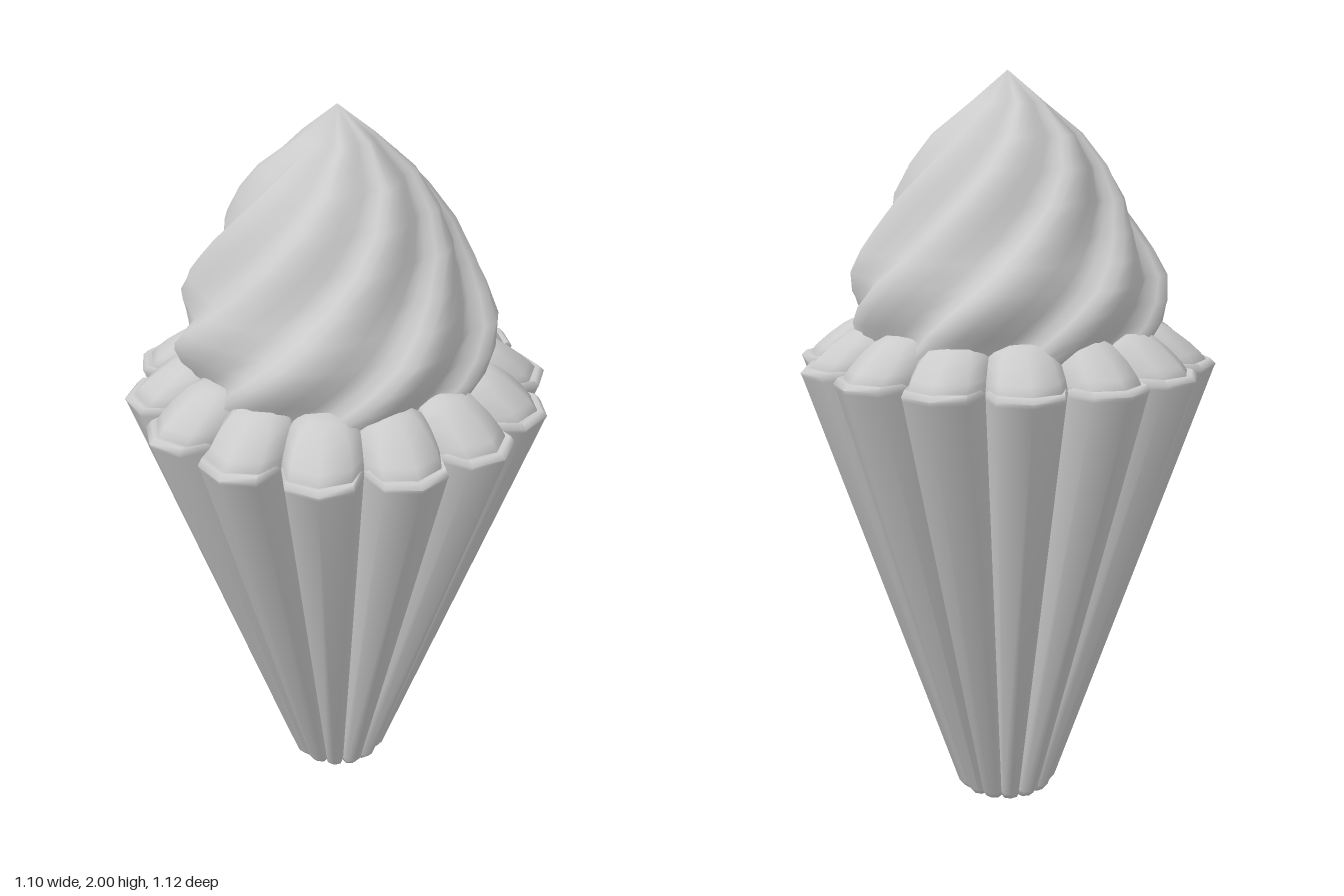
import * as THREE from 'three';
import { toCreasedNormals } from 'three/addons/utils/BufferGeometryUtils.js';

const LOBES = 14, FLUTES = 8;
const material = new THREE.MeshStandardMaterial({ color: 0xcccccc });

// Skins closed rings, ordered from the bottom up; zero-radius rings are poles.
function loft(rings, crease) {
  const pos = [], n = rings[0].length;
  const same = (a, b) => a.distanceTo(b) < 1e-6;
  const tri = (...p) => p.forEach(v => pos.push(v.x, v.y, v.z));
  for (let i = 0; i < rings.length - 1; i++) {
    for (let j = 0; j < n; j++) {
      const k = (j + 1) % n;
      const a = rings[i][j], b = rings[i][k], c = rings[i + 1][k], d = rings[i + 1][j];
      if (!same(a, b)) tri(a, b, c);
      if (!same(c, d)) tri(a, c, d);
    }
  }
  const g = new THREE.BufferGeometry();
  g.setAttribute('position', new THREE.Float32BufferAttribute(pos, 3));
  return toCreasedNormals(g, crease);
}

const polar = (r, t, y) => new THREE.Vector3(r * Math.sin(t), y, r * Math.cos(t));

// Fluted wafer cup: one scalloped outline scaled up the cone
function cupGeometry() {
  const pitch = 2 * Math.PI / LOBES;
  const lobe = [[0.452, -0.5], [0.533, -0.35], [0.562, 0], [0.533, 0.35]];
  const levels = [[0, 0], [0, 0.22], [0.02, 0.25], [1.23, 0.99], [1.242, 1],
    [1.256, 0.975], [1.252, 0.945], [1.25, 0]];
  const rings = levels.map(([y, s]) => {
    const ring = [];
    for (let i = 0; i < LOBES; i++)
      for (const [r, u] of lobe) ring.push(polar(r * s, (i + u) * pitch, y));
    return ring;
  });
  return loft(rings, 1.3);
}

// Twisted cream: an onion profile with spiralling, one-sided ridges
function swirlGeometry() {
  const profile = [[1.22, 0.38], [1.3, 0.4], [1.37, 0.425], [1.42, 0.43], [1.48, 0.422],
    [1.54, 0.387], [1.6, 0.352], [1.68, 0.312], [1.76, 0.26], [1.84, 0.196],
    [1.92, 0.1], [2, 0]];
  // Position within a flute and radius there
  const flute = [[0, 0.89], [0.1, 0.95], [0.2, 1], [0.4, 0.985], [0.6, 0.945], [0.82, 0.9]];
  const rings = profile.map(([y, r]) => {
    const ring = [];
    const twist = (y - 1.4) * 2.8 + 0.05;
    for (let i = 0; i < FLUTES; i++)
      for (const [u, k] of flute)
        ring.push(polar(r * k, (i + u) * 2 * Math.PI / FLUTES + twist, y));
    return ring;
  });
  return loft(rings, 1.5);
}

// Eight-sided cream dome, filling a scallop and sloping up toward the middle
function puffGeometry() {
  // Height, half width, half depth, distance from the axis
  const levels = [[1.23, 0.106, 0.115, 0.42], [1.255, 0.106, 0.115, 0.42],
    [1.275, 0.104, 0.112, 0.405], [1.305, 0.096, 0.1, 0.382], [1.335, 0.078, 0.075, 0.365],
    [1.352, 0.05, 0.045, 0.36], [1.358, 0, 0, 0.355]];
  const rings = levels.map(([y, width, depth, centre]) => {
    const ring = [];
    for (let i = 0; i < 8; i++) {
      const t = i * Math.PI / 4;
      ring.push(new THREE.Vector3(width * Math.sin(t), y, centre + depth * Math.cos(t)));
    }
    return ring;
  });
  return loft(rings, 1.2);
}

export function createModel() {
  const group = new THREE.Group();
  const add = (name, geometry) => {
    const mesh = new THREE.Mesh(geometry, material);
    mesh.name = name;
    group.add(mesh);
    return mesh;
  };

  add('cup', cupGeometry());
  add('creamSwirl', swirlGeometry()).position.set(0.01, 0, -0.012);

  // Cream puffs, one in each scallop of the rim
  const puff = puffGeometry();
  for (let i = 0; i < LOBES; i++)
    add('creamPuff', puff).rotation.y = i * 2 * Math.PI / LOBES;

  return group;
}
